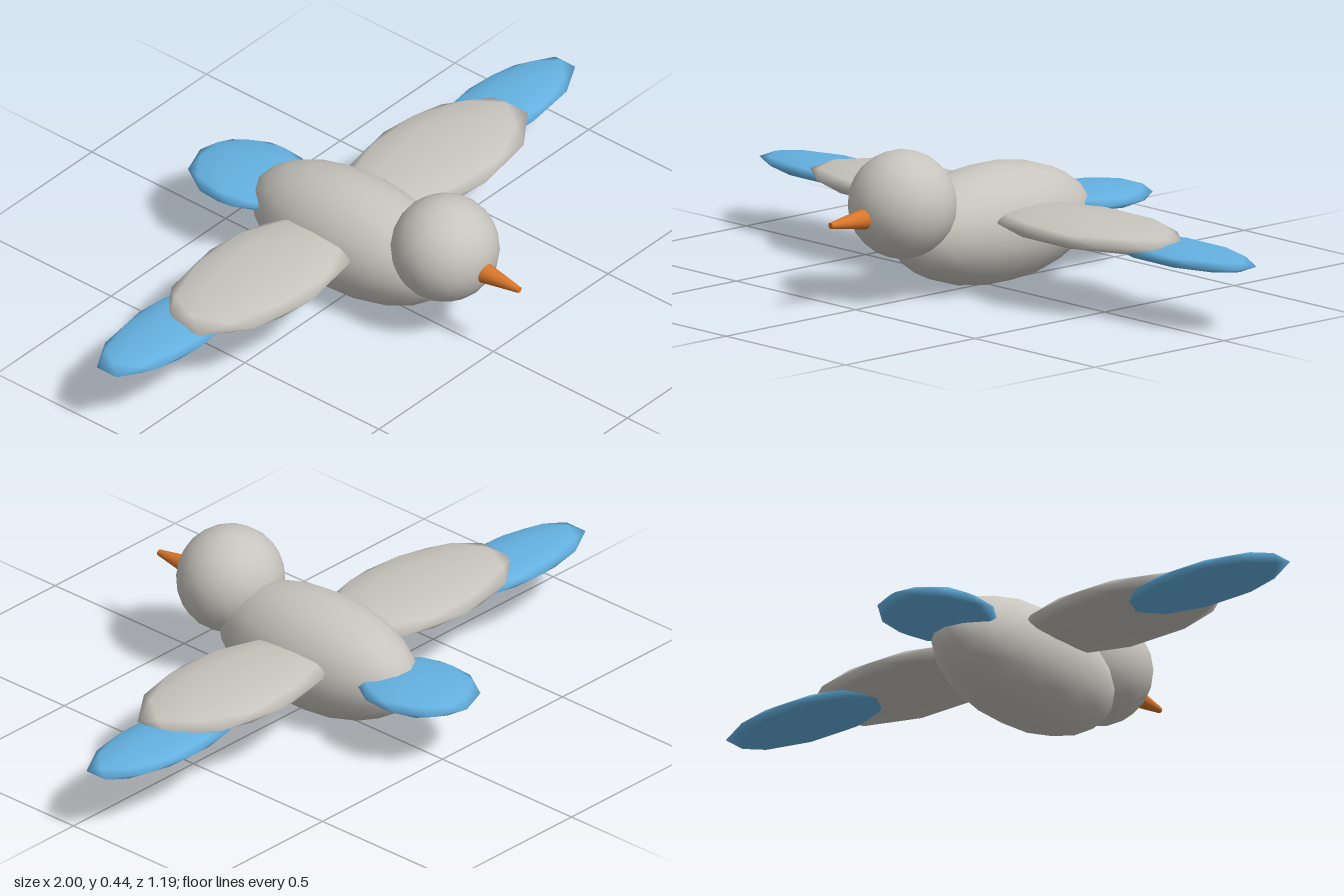
import * as THREE from 'three';

const mat = (name, color) => {
  const m = new THREE.MeshStandardMaterial({ color });
  m.name = name;
  return m;
};

// Unit icosphere with a pole pointing up and equator corners on the z axis
function icosphere(detail) {
  return new THREE.IcosahedronGeometry(1, detail)
    .rotateX(-Math.atan((1 + Math.sqrt(5)) / 2))
    .rotateY(Math.PI / 2);
}

export function createModel() {
  const bird = new THREE.Group();
  bird.name = 'bird';
  const grey = mat('plumage grey', 0xc8c5be);
  const blue = mat('feather blue', 0x64b1e1);
  const orange = mat('beak orange', 0xd9772b);
  const fine = icosphere(3);
  const coarse = icosphere(1);

  const add = (name, geometry, material, position, scale = [1, 1, 1]) => {
    const mesh = new THREE.Mesh(geometry, material);
    mesh.name = name;
    mesh.position.set(...position);
    mesh.scale.set(...scale);
    bird.add(mesh);
    return mesh;
  };

  // Body, head and fanned tail
  add('body', fine, grey, [0, 0.177, -0.02], [0.174, 0.174, 0.355]);
  add('head', fine, grey, [0, 0.283, 0.32], [0.157, 0.157, 0.155]);
  add('tail', coarse, blue, [0, 0.2, -0.405], [0.163, 0.031, 0.19]);

  // Tapered beak with a blunt tip
  const beak = new THREE.CylinderGeometry(0.009, 0.035, 0.16, 16).rotateX(Math.PI / 2);
  add('beak', beak, orange, [0, 0.262, 0.517]);

  // Outstretched wings with blue tips
  for (const [side, s] of [['left', 1], ['right', -1]]) {
    add(side + 'Wing', coarse, grey, [s * 0.38, 0.221, -0.045], [0.355, 0.041, 0.19]);
    add(side + 'WingTip', coarse, blue, [s * 0.72, 0.199, -0.088], [0.294, 0.029, 0.121]);
  }
  return bird;
}
